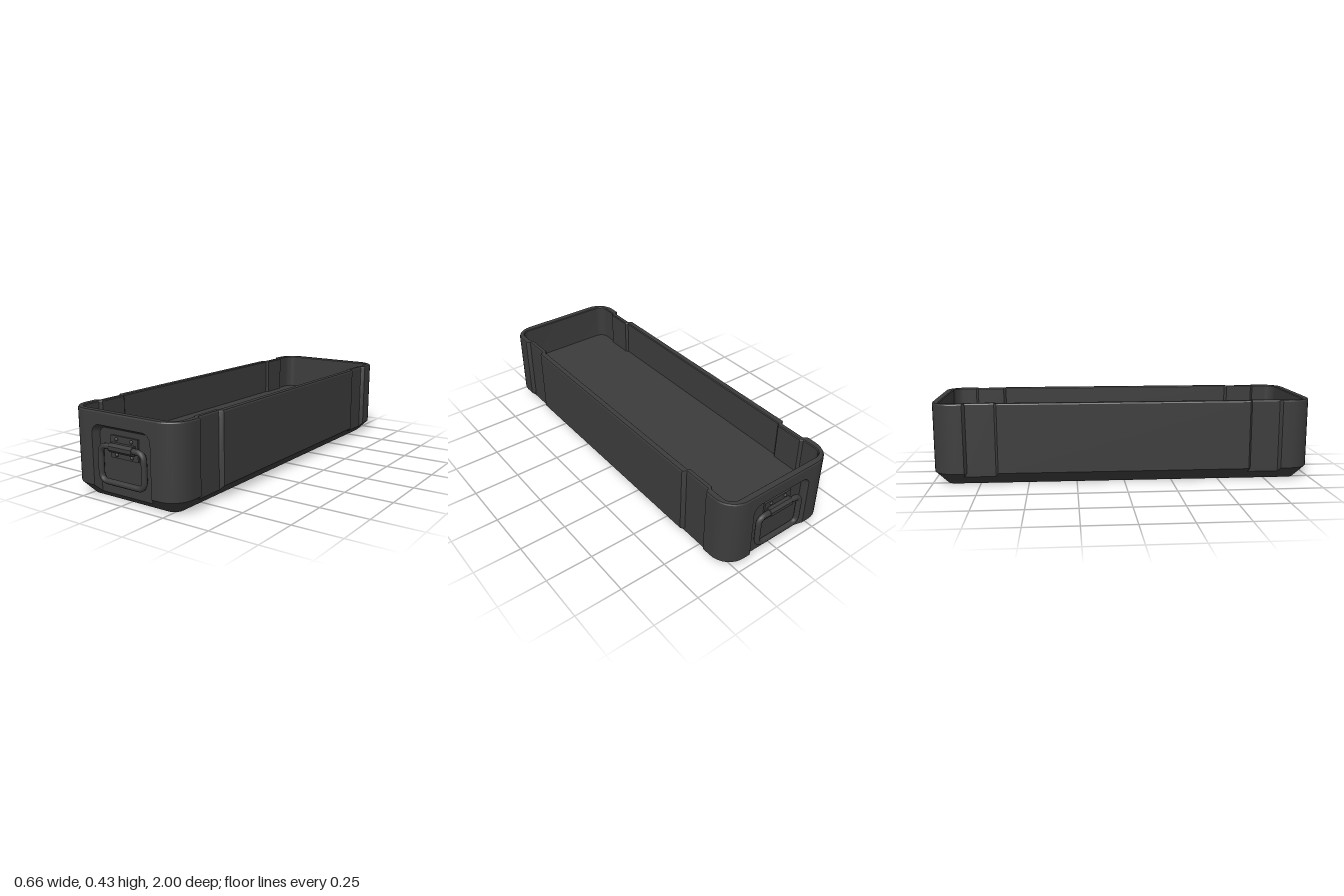
import * as THREE from 'three';
import { toCreasedNormals } from 'three/addons/utils/BufferGeometryUtils.js';

const END = 0.99, RECESS = 0.957, FLAT = 0.22, RIM = 0.42, CHAMFER = 0.065;

// One horizontal outline: half width w, half length l, notch half width n, corner radius r
function ring(y, w, l, n, r) {
  const q = [[w, 0.655], [n, 0.668], [n, 0.815], [w, 0.828]];
  for (let i = 0; i <= 8; i++) {
    const a = (i / 8) * Math.PI / 2;
    q.push([w - r + r * Math.cos(a), l - r + r * Math.sin(a)]);
  }
  const back = [...q].reverse();
  return [
    ...q, ...back.map(([x, z]) => [-x, z]),
    ...q.map(([x, z]) => [-x, -z]), ...back.map(([x, z]) => [x, -z]),
  ].map(([x, z]) => [x, y, z]);
}

function fromTriangles(tris) {
  const g = new THREE.BufferGeometry();
  g.setAttribute('position', new THREE.Float32BufferAttribute(tris.flat(2), 3));
  return toCreasedNormals(g, 0.45);
}

// Walls, rim, inner lining, floor and underside; flat end faces are left open for the end panels
function trayGeometry() {
  const rows = [
    ring(0, 0.265, 0.925, 0.265, 0.045),
    ring(0.045, 0.31, 0.97, 0.31, 0.09),
    ring(CHAMFER, 0.33, END, 0.31, 0.11),
    ring(RIM, 0.33, END, 0.31, 0.11),
    ring(0.427, 0.326, 0.986, 0.306, 0.106),
    ring(0.427, 0.299, 0.957, 0.287, 0.054),
    ring(0.422, 0.295, 0.953, 0.283, 0.05),
    ring(0.225, 0.295, 0.953, 0.283, 0.05),
  ];
  const count = rows[0].length, quarter = count / 4, tris = [];
  for (let j = 0; j < rows.length - 1; j++) {
    for (let i = 0; i < count; i++) {
      if (j < 3 && (i === quarter - 1 || i === 3 * quarter - 1)) continue;
      const k = (i + 1) % count;
      const [a, b, c, d] = [rows[j][i], rows[j][k], rows[j + 1][i], rows[j + 1][k]];
      tris.push([a, c, b], [b, c, d]);
    }
  }
  const floor = rows[rows.length - 1];
  for (let i = 0; i < count; i++) {
    const k = (i + 1) % count;
    tris.push([[0, 0, 0], rows[0][i], rows[0][k]]);
    tris.push([[0, floor[0][1], 0], floor[k], floor[i]]);
  }
  return fromTriangles(tris);
}

// Arch from lower right, over the top, to lower left
function arch(hw, bottom, top, r) {
  const half = [[hw, bottom]];
  for (let i = 0; i <= 6; i++) {
    const a = (i / 6) * Math.PI / 2;
    half.push([hw - r + r * Math.cos(a), top - r + r * Math.sin(a)]);
  }
  return [...half, ...half.map(([x, y]) => [-x, y]).reverse()];
}

// Flat polygon placed on the surface z = depth(y)
function plate(points, depth) {
  const g = new THREE.ShapeGeometry(new THREE.Shape(points.map(p => new THREE.Vector2(...p))));
  const pos = g.attributes.position;
  for (let i = 0; i < pos.count; i++) pos.setZ(i, depth(pos.getY(i)));
  g.computeVertexNormals();
  return g;
}

// Rounded rectangular ring for the carrying handle
function handleGeometry() {
  const hx = 0.133, y0 = 0.098, y1 = 0.267, r = 0.04, path = new THREE.CurvePath();
  const v = (x, y) => new THREE.Vector3(x, y, 0);
  const corners = [[hx, y1], [hx, y0], [-hx, y0], [-hx, y1]];
  let last = v(0, y1);
  corners.forEach(([x, y], i) => {
    const sx = Math.sign(x), sy = y === y1 ? 1 : -1;
    const onX = v(x - sx * r, y), onY = v(x, y - sy * r);
    const [enter, leave] = i % 2 === 0 ? [onX, onY] : [onY, onX];
    path.add(new THREE.LineCurve3(last, enter));
    path.add(new THREE.QuadraticBezierCurve3(enter, v(x, y), leave));
    last = leave;
  });
  path.add(new THREE.LineCurve3(last, v(0, y1)));
  return new THREE.TubeGeometry(path, 80, 0.0145, 10, true);
}

export function createModel() {
  const model = new THREE.Group();
  model.name = 'tray';
  const charcoal = new THREE.MeshStandardMaterial({ color: 0x3c3c3c });
  charcoal.name = 'charcoal';

  const add = (parent, name, geometry, x = 0, y = 0, z = 0) => {
    const mesh = new THREE.Mesh(geometry, charcoal);
    mesh.name = name;
    mesh.position.set(x, y, z);
    parent.add(mesh);
    return mesh;
  };

  add(model, 'trayBody', trayGeometry());

  // Recessed opening: outer lip and inner panel
  const foot = RECESS - (END - CHAMFER);
  const lip = arch(0.178, CHAMFER, 0.363, 0.045);
  const panel = arch(0.16, foot, 0.345, 0.035);
  const bevel = [];
  for (let i = 0; i < lip.length - 1; i++) {
    const o = [...lip[i], END], o2 = [...lip[i + 1], END];
    const p = [...panel[i], RECESS], p2 = [...panel[i + 1], RECESS];
    bevel.push([o, o2, p], [o2, p2, p]);
  }
  const parts = {
    endFace: plate([[FLAT, CHAMFER], [FLAT, RIM], [-FLAT, RIM], [-FLAT, CHAMFER],
      ...[...lip].reverse()], () => END),
    endChamfer: plate([[-FLAT, 0], [FLAT, 0], [FLAT, CHAMFER], [0.178, CHAMFER], [0.16, foot],
      [-0.16, foot], [-0.178, CHAMFER], [-FLAT, CHAMFER]], y => END - CHAMFER + y),
    recessBevel: fromTriangles(bevel),
    recessPanel: plate(panel, () => RECESS),
  };

  const handle = handleGeometry();
  const hingePlate = new THREE.BoxGeometry(0.168, 0.106, 0.01);
  const barrel = toCreasedNormals(new THREE.CylinderGeometry(0.024, 0.024, 0.14, 8)
    .rotateY(Math.PI / 8).rotateZ(Math.PI / 2), 0.5);
  const rivet = new THREE.SphereGeometry(0.009, 10, 5, 0, Math.PI * 2, 0, Math.PI / 2)
    .rotateX(Math.PI / 2);

  // Same end assembly at front and back
  for (const side of ['front', 'back']) {
    const end = new THREE.Group();
    end.name = side + 'End';
    end.rotation.y = side === 'front' ? 0 : Math.PI;
    for (const [name, geometry] of Object.entries(parts)) add(end, name, geometry);
    add(end, 'handle', handle, 0, 0, 0.982);
    add(end, 'hingePlate', hingePlate, 0, 0.265, RECESS + 0.004);
    add(end, 'hingeBarrel', barrel, 0, 0.265, 0.977);
    for (const x of [-0.046, 0.046])
      for (const y of [0.228, 0.302]) add(end, 'rivet', rivet, x, y, RECESS + 0.009);
    model.add(end);
  }
  return model;
}
